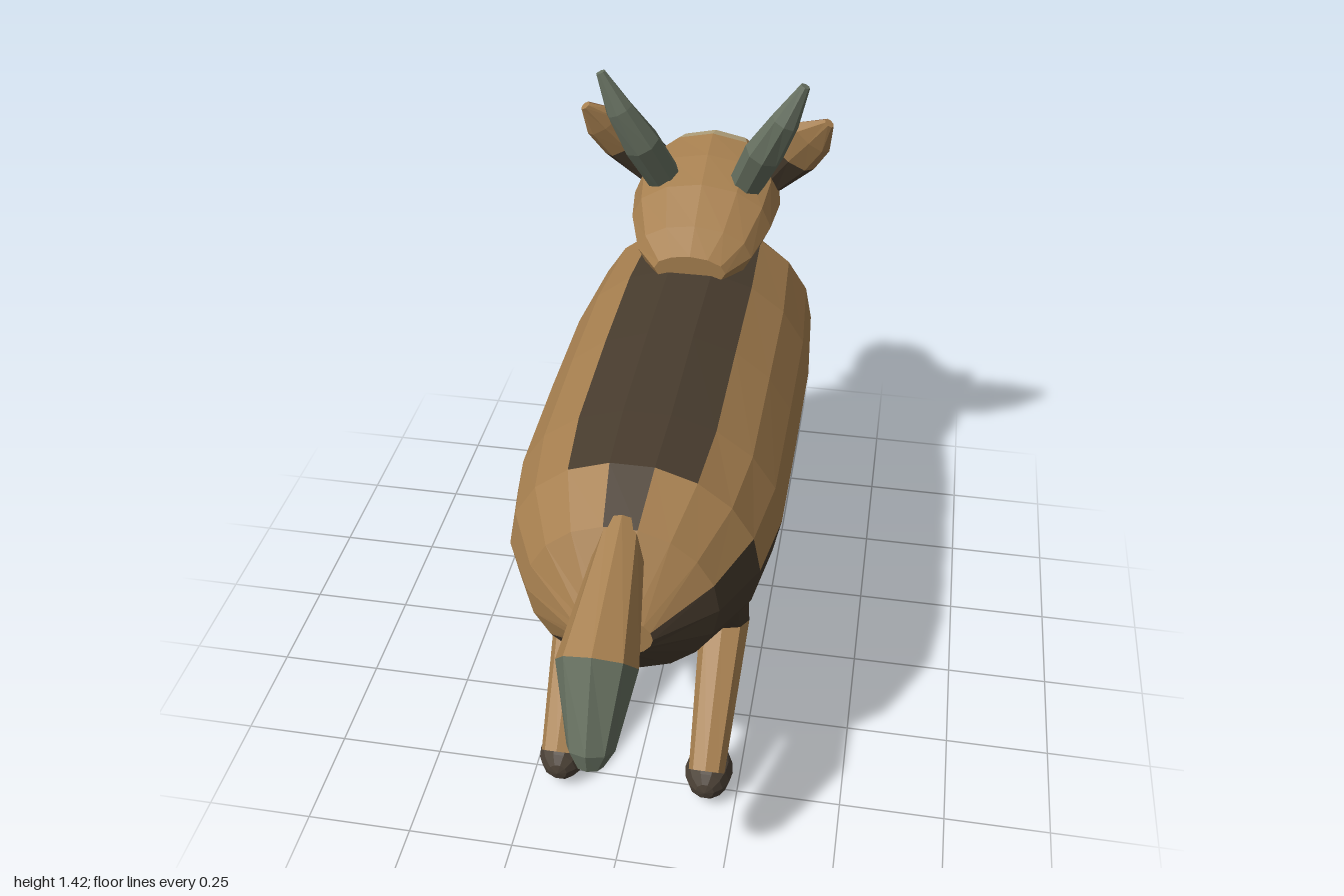
import * as THREE from 'three';

const mat = (name, hex) => {
  const m = new THREE.MeshStandardMaterial({ color: hex });
  m.name = name;
  return m;
};
const V = (x, y, z) => new THREE.Vector3(x, y, z);

export function createModel() {
  const root = new THREE.Group();
  root.name = 'hornedAnimal';
  const mats = [
    mat('tan fur', 0xa67f4f), mat('dark fur', 0x483c2e), mat('horn grey green', 0x667060),
    mat('russet', 0x83593a), mat('cream', 0xb7a57e), mat('eye black', 0x23262a), mat('hoof brown', 0x4b4136),
  ];
  const TAN = 0, DARK = 1, HORN = 2, RUSSET = 3, CREAM = 4, EYE = 5, HOOF = 6;

  // Faceted skin over rings [centre, radius along u, radius along v];
  // pick(segment, side, normal) chooses the colour of each face.
  function loft(name, rings, n, pick, u0 = V(1, 0, 0), axis = null) {
    const pts = rings.map(([c, a, b], i) => {
      const prev = rings[Math.max(i - 1, 0)][0], next = rings[Math.min(i + 1, rings.length - 1)][0];
      const t = axis ? axis.clone() : next.clone().sub(prev).normalize();
      const u = u0.clone().addScaledVector(t, -u0.dot(t)).normalize();
      const v = u.clone().cross(t);
      return Array.from({ length: n }, (_, j) => {
        const th = (j / n) * Math.PI * 2;
        return c.clone().addScaledVector(u, a * Math.cos(th)).addScaledVector(v, b * Math.sin(th));
      });
    });
    const buckets = mats.map(() => []);
    const face = (i, j, corners) => {
      const nrm = corners[1].clone().sub(corners[0]).cross(corners[2].clone().sub(corners[0])).normalize();
      const out = buckets[pick(i, j, nrm)];
      for (let k = 1; k < corners.length - 1; k++)
        for (const p of [corners[0], corners[k], corners[k + 1]]) out.push(p.x, p.y, p.z);
    };
    for (let i = 0; i < rings.length - 1; i++)
      for (let j = 0; j < n; j++) {
        const k = (j + 1) % n;
        face(i, j, [pts[i][j], pts[i + 1][j], pts[i + 1][k], pts[i][k]]);
      }
    face(-1, 0, pts[0]);
    face(rings.length - 1, 0, [...pts[rings.length - 1]].reverse());

    const g = new THREE.BufferGeometry();
    const pos = [];
    buckets.forEach((b, m) => {
      if (b.length) g.addGroup(pos.length / 3, b.length / 3, m);
      for (const value of b) pos.push(value);
    });
    g.setAttribute('position', new THREE.Float32BufferAttribute(pos, 3));
    g.computeVertexNormals();
    const mesh = new THREE.Mesh(g, mats);
    mesh.name = name;
    root.add(mesh);
  }

  // Faceted ellipsoid with its poles along z
  function ball(name, c, r, m, w = 10, h = 8) {
    const g = new THREE.SphereGeometry(1, w, h).rotateX(Math.PI / 2).scale(...r).toNonIndexed();
    g.computeVertexNormals();
    const mesh = new THREE.Mesh(g, mats[m]);
    mesh.name = name;
    mesh.position.set(...c);
    root.add(mesh);
  }

  const back = V(0, 0, -1);

  // Barrel body, from rump to chest
  const body = [
    [0.71, 0.69, 0.085, 0.055], [0.61, 0.7, 0.21, 0.2], [0.475, 0.705, 0.28, 0.258], [0.3, 0.705, 0.308, 0.27],
    [0, 0.707, 0.31, 0.28], [-0.3, 0.707, 0.31, 0.278], [-0.58, 0.703, 0.29, 0.258],
    [-0.71, 0.703, 0.215, 0.2], [-0.79, 0.71, 0.1, 0.09],
  ].map(([z, y, a, b]) => [V(0, y, z), a, b]);
  loft('body', body, 18, (i, j) => {
    if (i < 0 || i > 6) return TAN;
    if (i === 6) return j >= 11 && j <= 16 ? DARK : TAN;
    if (i < 2) return j >= 11 || j === 0 || (i === 1 && j === 4) ? DARK : TAN;
    return j >= 11 || (j >= 3 && j <= 5) ? DARK : TAN;
  }, V(1, 0, 0), back);

  // Neck and skull
  const head = [
    [-0.285, 0.99, 0.09, 0.04], [-0.36, 1.0, 0.145, 0.075], [-0.47, 1.03, 0.18, 0.105], [-0.57, 1.045, 0.192, 0.125],
    [-0.66, 1.05, 0.18, 0.137], [-0.715, 1.045, 0.16, 0.127], [-0.775, 1.025, 0.13, 0.1], [-0.82, 1.0, 0.1, 0.075],
  ].map(([z, y, a, b]) => [V(0, y, z), a, b]);
  loft('head', head, 12, (i, j) => {
    if ((i === 4 || i === 5) && (j === 2 || j === 3)) return j >= 2 ? CREAM : TAN;
    if (i === 4 && (j === 10 || j === 11 || j === 6 || j === 7)) return CREAM;
    if ((i === 3 || i === 5) && (j === 10 || j === 11)) return DARK;
    if (i === 2 && j === 11) return DARK;
    return TAN;
  }, V(1, 0, 0), back);

  ball('snout', [0, 1.0, -0.8], [0.122, 0.078, 0.135], RUSSET);
  ball('lowerJaw', [0, 0.9, -0.87], [0.092, 0.065, 0.13], HOOF);

  // Tail: tan and dark root, horn-coloured outer side at the end
  loft('tail', [
    [V(0, 0.87, 0.57), 0.045, 0.05], [V(0, 0.755, 0.86), 0.085, 0.075],
    [V(0, 0.6, 0.94), 0.05, 0.055], [V(0, 0.565, 0.955), 0.028, 0.03],
  ], 8, (i, j, n) => {
    if (i >= 1) return n.z > 0.05 || i > 1 ? HORN : TAN;
    return n.y < -0.3 ? DARK : TAN;
  });

  for (const s of [1, -1]) {
    const side = s > 0 ? 'left' : 'right';

    // Hind leg, bent forward at the knee
    const x = 0.18 * s;
    loft(side + 'HindLeg', [
      [V(x, 0.6, 0.42), 0.07, 0.06], [V(x, 0.355, 0.265), 0.06, 0.055], [V(x, 0.11, 0.54), 0.043, 0.036],
    ], 8, (i, j, n) => {
      if (i === 0) return n.z > 0.3 ? DARK : TAN;
      return n.z < -0.25 ? DARK : TAN;
    });
    ball(side + 'HindFoot', [x, 0.065, 0.495], [0.058, 0.062, 0.075], HOOF);

    // Foreleg, bent backward at the elbow
    loft(side + 'ForeLeg', [
      [V(x, 0.6, -0.53), 0.07, 0.06], [V(x, 0.36, -0.42), 0.06, 0.048], [V(x, 0.1, -0.565), 0.043, 0.036],
    ], 8, (i, j, n) => (n.z > 0.25 ? DARK : TAN));
    ball(side + 'ForeFoot', [x, 0.065, -0.61], [0.058, 0.062, 0.075], HOOF);

    // Horn
    loft(side + 'Horn', [
      [V(0.1 * s, 1.1, -0.54), 0.045, 0.045], [V(0.155 * s, 1.235, -0.475), 0.05, 0.045],
      [V(0.205 * s, 1.33, -0.455), 0.036, 0.032], [V(0.25 * s, 1.425, -0.455), 0.012, 0.012],
    ], 8, () => HORN);

    // Flattened ear, russet on its face side
    loft(side + 'Ear', [
      [V(0.15 * s, 1.08, -0.63), 0.045, 0.03], [V(0.215 * s, 1.18, -0.595), 0.07, 0.035],
      [V(0.265 * s, 1.245, -0.56), 0.058, 0.026], [V(0.308 * s, 1.3, -0.53), 0.014, 0.01],
    ], 8, (i, j, n) => {
      if (n.z < 0) return RUSSET;
      return i === 0 ? DARK : TAN;
    }, V(0.8 * s, -0.6, 0));

    ball(side + 'Eye', [0.16 * s, 1.09, -0.695], [0.04, 0.046, 0.046], EYE, 10, 8);
  }
  return root;
}
